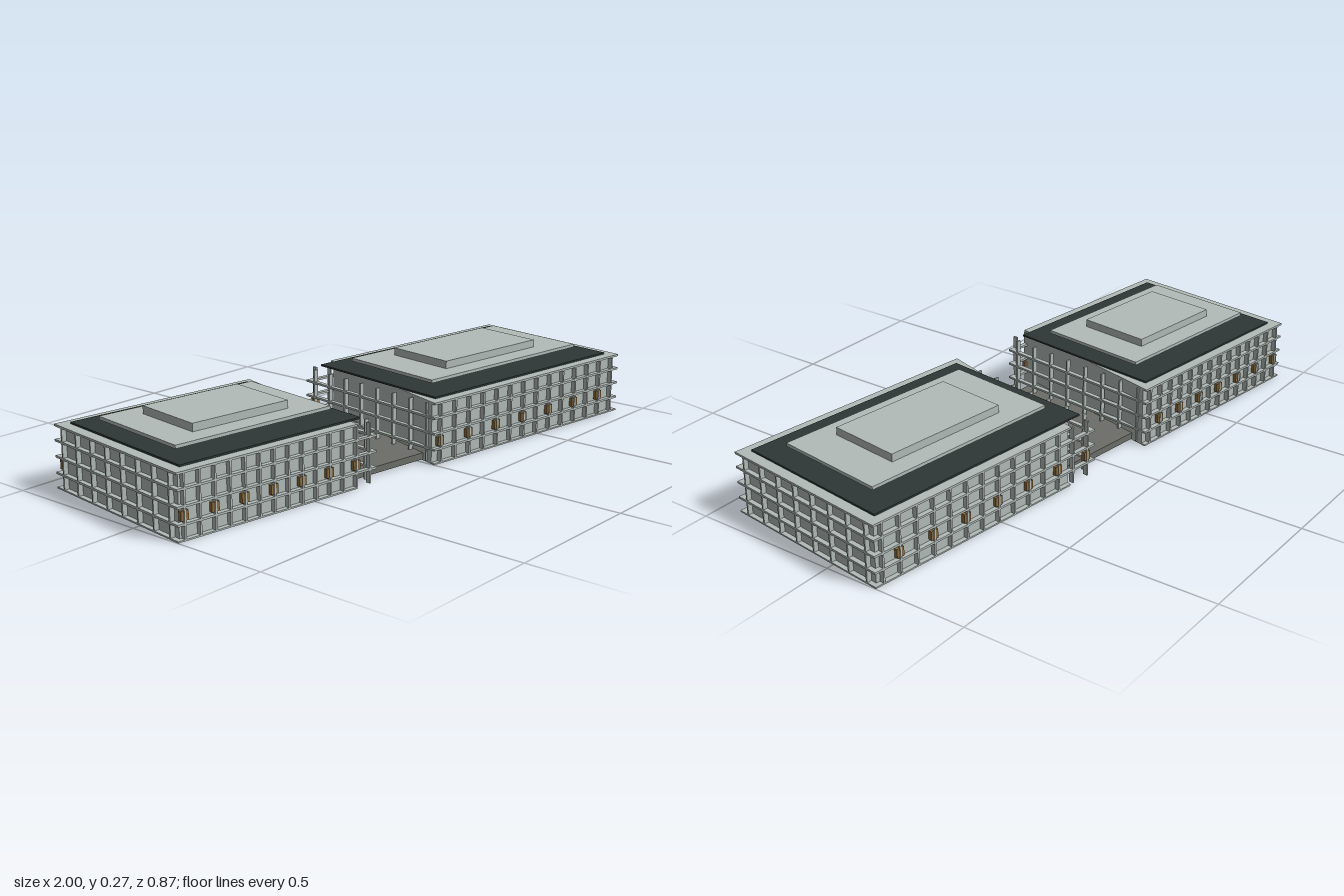
import * as THREE from 'three';
import { mergeGeometries } from 'three/addons/utils/BufferGeometryUtils.js';

const mat = (name, color) => {
  const m = new THREE.MeshStandardMaterial({ color });
  m.name = name;
  return m;
};

export function createModel() {
  const concrete = mat('pale concrete', 0xb2bcb8);
  const roofing = mat('dark roofing', 0x2e3735);
  const paving = mat('bridge paving', 0x6c6e68);
  const bronze = mat('bronze windows', 0x8a6a3a);

  const HALF = 0.3125;   // half depth of both buildings
  const DEPTH = 0.016;   // facade grid depth
  const TOP = 0.2;       // underside of the roof slab

  const add = (parent, name, geo, material) => {
    const m = new THREE.Mesh(geo, material);
    m.name = name;
    parent.add(m);
    return m;
  };
  // box given by its extents
  const box = (x0, x1, y0, y1, z0, z1) =>
    new THREE.BoxGeometry(x1 - x0, y1 - y0, z1 - z0)
      .translate((x0 + x1) / 2, (y0 + y1) / 2, (z0 + z1) / 2);
  // upright prism over a plan outline of [x, z] points
  const prism = (pts, y0, y1) => {
    const shape = new THREE.Shape(pts.map(([x, z]) => new THREE.Vector2(x, -z)));
    return new THREE.ExtrudeGeometry(shape, { depth: y1 - y0, bevelEnabled: false })
      .rotateX(-Math.PI / 2).translate(0, y0, 0);
  };

  // outer: far end, inner: end at the gap; the gap wall is slanted from
  // x = innerBack to x = innerFront
  function building(name, outer, inner, innerBack, innerFront) {
    const g = new THREE.Group();
    g.name = name;
    const x0 = Math.min(outer, inner), x1 = Math.max(outer, inner);
    const length = x1 - x0, mid = (x0 + x1) / 2;
    const plan = (inset) => {
      const xo = outer - Math.sign(outer) * inset, z = HALF - inset;
      const t = inset / (2 * HALF) * (innerFront - innerBack);
      return [[xo, -z], [innerBack + t, -z], [innerFront - t, z], [xo, z]];
    };

    // slabs and recessed walls
    add(g, 'baseSlab', prism(plan(0), 0, 0.005), concrete);
    add(g, 'walls', prism(plan(DEPTH), 0.005, TOP), concrete);
    add(g, 'roofSlab', prism(plan(0), TOP, 0.207), concrete);

    // facade grid, running on past the slanted wall
    const bars = [], windows = [];
    const levels = [0.05, 0.103, 0.155], h = 0.0035, w = 0.003;
    for (const s of [-1, 1]) {
      const za = s > 0 ? HALF - DEPTH : -HALF, zb = za + DEPTH;
      for (let i = 0; i < 14; i++) {
        const x = x0 + (i + 0.5) * length / 14;
        bars.push(box(x - w, x + w, 0.005, TOP, za, zb));
        // a window either side of every other post
        if (i % 2 === 0) for (const k of [-1, 1]) {
          const c = x + k * 0.0085;
          windows.push(box(c - 0.005, c + 0.005, 0.06, 0.09, za + 0.002, zb - 0.002));
        }
      }
      for (const y of levels) bars.push(box(x0, x1, y - h, y + h, za, zb));

      const xa = s > 0 ? x1 - DEPTH : x0, xb = xa + DEPTH;
      for (let i = 0; i < 8; i++) {
        const z = -HALF + (i + 0.5) * HALF / 4;
        bars.push(box(xa, xb, 0.005, TOP, z - w, z + w));
      }
      for (const y of levels) bars.push(box(xa, xb, y - h, y + h, -HALF, HALF));
    }
    add(g, 'facadeGrid', mergeGeometries(bars), concrete);
    add(g, 'facadeWindows', mergeGeometries(windows), bronze);

    // stepped roof: dark deck, raised canopy, plant room
    add(g, 'roofDeck', box(x0 + 0.037, x1 - 0.037, 0.207, 0.213, -0.278, 0.278), roofing);
    const c = length * 0.387, p = length * 0.239;
    add(g, 'roofCanopy', box(mid - c, mid + c, 0.229, 0.24, -0.194, 0.194), concrete);
    add(g, 'plantRoom', box(mid - p, mid + p, 0.24, 0.266, -0.125, 0.125), concrete);
    return g;
  }

  const site = new THREE.Group();
  site.name = 'site';
  site.rotation.y = -0.1295;
  site.add(building('smallBuilding', -0.967, -0.212, -0.212, -0.2925));
  site.add(building('largeBuilding', 0.967, 0.04, 0.153, 0.04));

  // low bridge between the slanted walls
  add(site, 'bridge', prism([[-0.26, -0.25], [0.18, -0.25], [0.09, 0.25], [-0.33, 0.25]], 0.003, 0.025), paving);

  const model = new THREE.Group();
  model.name = 'officeComplex';
  model.add(site);
  return model;
}
